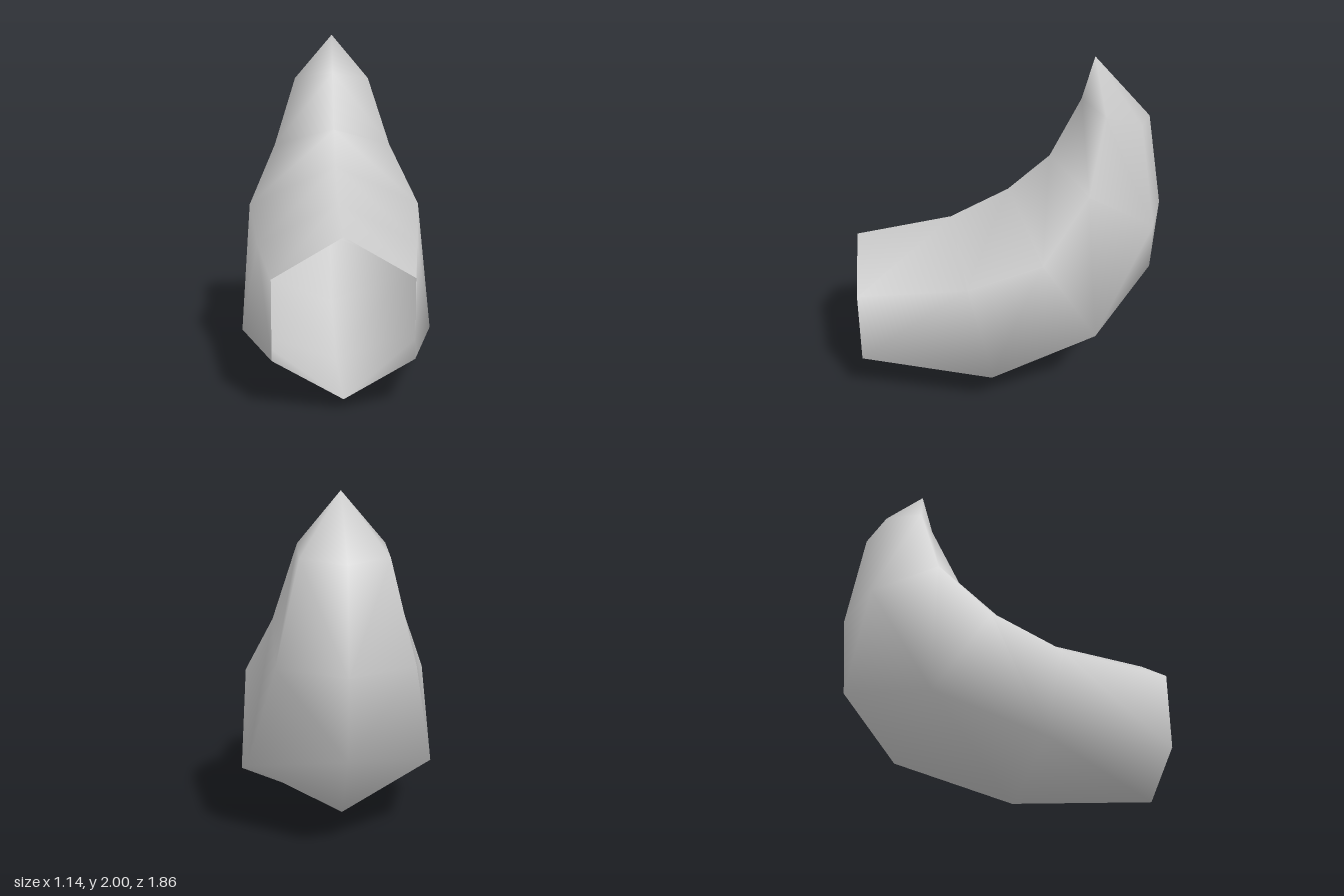
import * as THREE from 'three';
import { mergeVertices } from 'three/addons/utils/BufferGeometryUtils.js';

// Half cross-sections down the length: inner ridge, upper side, lower side, outer ridge
const SECTIONS = [
  [[0, 0.93, 0.93], [0.377, 0.71, 0.93], [0.377, 0.275, 0.93], [0, 0.06, 0.93]],
  [[0, 1.02, 0.36], [0.47, 0.77, 0.29], [0.57, 0.22, 0.16], [0, 0.005, 0.09]],
  [[0, 1.19, 0.01], [0.53, 0.94, -0.14], [0.53, 0.45, -0.46], [0, 0.2, -0.59]],
  // extra bend on the outer ridge only
  [[0, 1.19, 0.01], [0.53, 0.94, -0.14], [0.53, 0.45, -0.46], [0, 0.6, -0.9]],
  [[0, 1.4, -0.24], [0.375, 1.29, -0.42], [0.375, 1.09, -0.8], [0, 1.06, -0.93]],
  [[0, 1.75, -0.42], [0.24, 1.72, -0.52], [0.24, 1.66, -0.73], [0, 1.63, -0.83]],
  // pointed tip
  Array(4).fill([0, 2, -0.49]),
];

// Skin mirrored six-sided sections into a tube with an open front end
function skin(sections) {
  const mirror = ([x, y, z]) => [-x, y, z];
  const rings = sections.map((s) => [...s, mirror(s[2]), mirror(s[1])]);
  const positions = [];
  const triangle = (...points) => {
    const keys = new Set(points.map((p) => p.map((v) => v + 0).join()));
    if (keys.size === 3) positions.push(...points.flat());
  };
  for (let i = 0; i < rings.length - 1; i++) {
    for (let j = 0; j < 6; j++) {
      const k = (j + 1) % 6;
      const a = rings[i][j], b = rings[i][k], c = rings[i + 1][k], d = rings[i + 1][j];
      if (j < 3) {
        triangle(a, b, d);
        triangle(b, c, d);
      } else {
        triangle(a, b, c);
        triangle(a, c, d);
      }
    }
  }
  const geometry = new THREE.BufferGeometry();
  geometry.setAttribute('position', new THREE.Float32BufferAttribute(positions, 3));
  const merged = mergeVertices(geometry);
  merged.computeVertexNormals();
  return merged;
}

export function createModel() {
  const group = new THREE.Group();
  group.name = 'curvedTail';
  const material = new THREE.MeshStandardMaterial({ color: 0xcccccc, side: THREE.DoubleSide });
  material.name = 'light grey';
  const tail = new THREE.Mesh(skin(SECTIONS), material);
  tail.name = 'tail';
  group.add(tail);
  return group;
}
